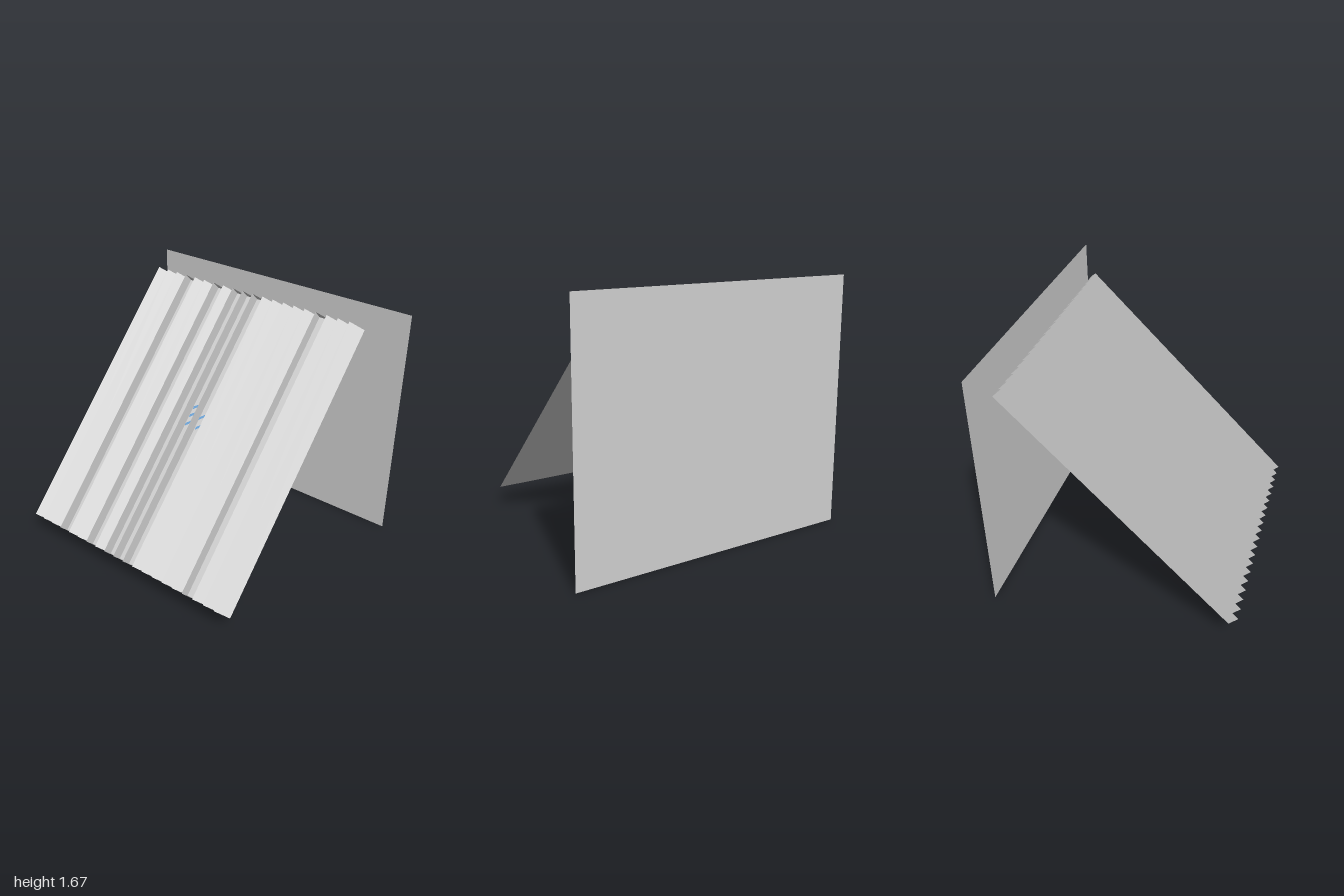
import * as THREE from 'three';

const PITCH = 1 / 12;      // slat width and height
const COUNT = 20;
const LENGTH = 2;
const LEFT_EDGE = -11 / 12;
const OPEN_SLATS = new Set([3, 6, 8, 9, 10, 16]);

// Right-angled wedge: tall wall at x = 0, sloping down to the base at x = PITCH.
function wedgeGeometry(open) {
  const p = PITCH, l = LENGTH;
  const geometry = new THREE.BufferGeometry();
  geometry.setAttribute('position', new THREE.Float32BufferAttribute([
    0, 0, 0, p, 0, 0, 0, 0, p,
    0, l, 0, p, l, 0, 0, l, p,
  ], 3));
  const index = [
    0, 1, 2, 3, 5, 4,          // ends
    0, 2, 5, 0, 5, 3,          // wall
  ];
  if (!open) index.push(1, 4, 5, 1, 5, 2);   // slope
  geometry.setIndex(index);
  const flat = geometry.toNonIndexed();
  flat.computeVertexNormals();
  return flat;
}

// Slanted stroke with upright ends, lying in the xy plane
function strokeGeometry(x0, y0, x1, y1, thickness) {
  const shape = new THREE.Shape();
  shape.moveTo(x0, y0);
  shape.lineTo(x1, y1);
  shape.lineTo(x1, y1 + thickness);
  shape.lineTo(x0, y0 + thickness);
  return new THREE.ShapeGeometry(shape);
}

export function createModel() {
  const grey = new THREE.MeshStandardMaterial({ color: 0xd0d0d0, side: THREE.DoubleSide });
  grey.name = 'light grey';
  const blue = new THREE.MeshStandardMaterial({ color: 0x6ca4d8, side: THREE.DoubleSide });
  blue.name = 'soft blue';

  const model = new THREE.Group();
  const add = (parent, name, geometry, material, x = 0, y = 0, z = 0) => {
    const mesh = new THREE.Mesh(geometry, material);
    mesh.name = name;
    mesh.position.set(x, y, z);
    parent.add(mesh);
    return mesh;
  };

  // Upright sheet at the back
  add(model, 'backPanel', new THREE.PlaneGeometry(2, 5 / 3), grey, 0, 5 / 6, -0.8);

  // Leaning panel: y runs along the slats, z points out of the ribbed side
  const leaning = new THREE.Group();
  leaning.name = 'leaningPanel';
  leaning.position.set(0, 0.13, 0.742);
  leaning.rotation.x = -Math.PI / 4;
  model.add(leaning);

  const width = COUNT * PITCH;
  add(leaning, 'basePlate', new THREE.PlaneGeometry(width, LENGTH), grey,
    LEFT_EDGE + width / 2, LENGTH / 2, 0);

  // Sawtooth slats, some without their sloping face
  const closedWedge = wedgeGeometry(false);
  const openWedge = wedgeGeometry(true);
  for (let i = 0; i < COUNT; i++) {
    const open = OPEN_SLATS.has(i);
    add(leaning, open ? 'openSlat' : 'slat', open ? openWedge : closedWedge, grey,
      LEFT_EDGE + i * PITCH);
  }

  // Blue streaks on the bare base between the middle slats
  const streaks = [
    [-0.163, 0.995, 0, 1.14],
    [-0.075, 0.995, 0, 1.06],
    [-0.163, 1.06, -0.085, 1.125],
    [-0.163, 1.12, -0.095, 1.175],
  ];
  for (const [x0, y0, x1, y1] of streaks) {
    add(leaning, 'blueStreak', strokeGeometry(x0, y0, x1, y1, 0.022), blue, 0, 0, 0.003);
  }

  return model;
}
